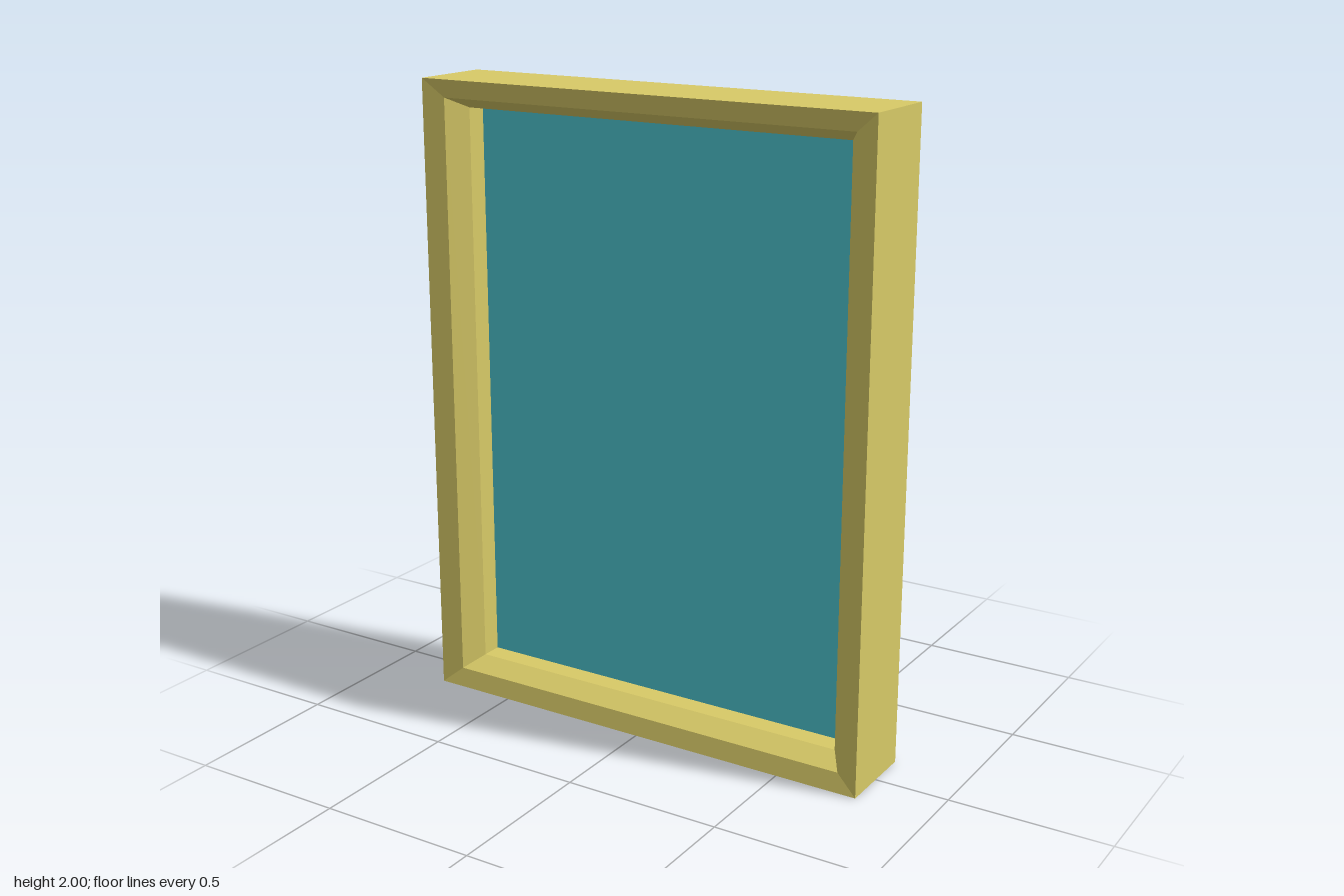
import * as THREE from 'three';

const W = 0.765, H = 1, D = 0.137;

// Rectangular ring of corners, inset from the outer edge, counter-clockwise from the front
function ring(insetX, insetY, z) {
  const x = W - insetX, y = H - insetY;
  return [[-x, H - y, z], [x, H - y, z], [x, H + y, z], [-x, H + y, z]];
}

function surface(name, quads, color) {
  const points = quads.flatMap(([a, b, c, d]) => [a, b, c, a, c, d]).flat();
  const geometry = new THREE.BufferGeometry();
  geometry.setAttribute('position', new THREE.Float32BufferAttribute(points, 3));
  geometry.computeVertexNormals();
  const mesh = new THREE.Mesh(geometry, new THREE.MeshStandardMaterial({ color, flatShading: true }));
  mesh.name = name;
  return mesh;
}

export function createModel() {
  const model = new THREE.Group();
  model.name = 'framedPanel';

  // Mitred moulding: outer side, shallow front bevel, steep bevel, straight inner wall
  const rings = [
    ring(0, 0, -D),
    ring(0, 0, D),
    ring(0.069, 0.057, D - 0.018),
    ring(0.113, 0.091, D - 0.085),
    ring(0.113, 0.091, D - 0.152),
  ];
  const quads = [];
  for (let r = 0; r < rings.length - 1; r++) {
    for (let i = 0; i < 4; i++) {
      const j = (i + 1) % 4;
      quads.push([rings[r][i], rings[r][j], rings[r + 1][j], rings[r + 1][i]]);
    }
  }
  // Solid back board
  quads.push([...rings[0]].reverse());
  model.add(surface('frame', quads, 0xd8ca67));

  // Recessed pane
  model.add(surface('pane', [rings[4]], 0x4fcad6));
  return model;
}
